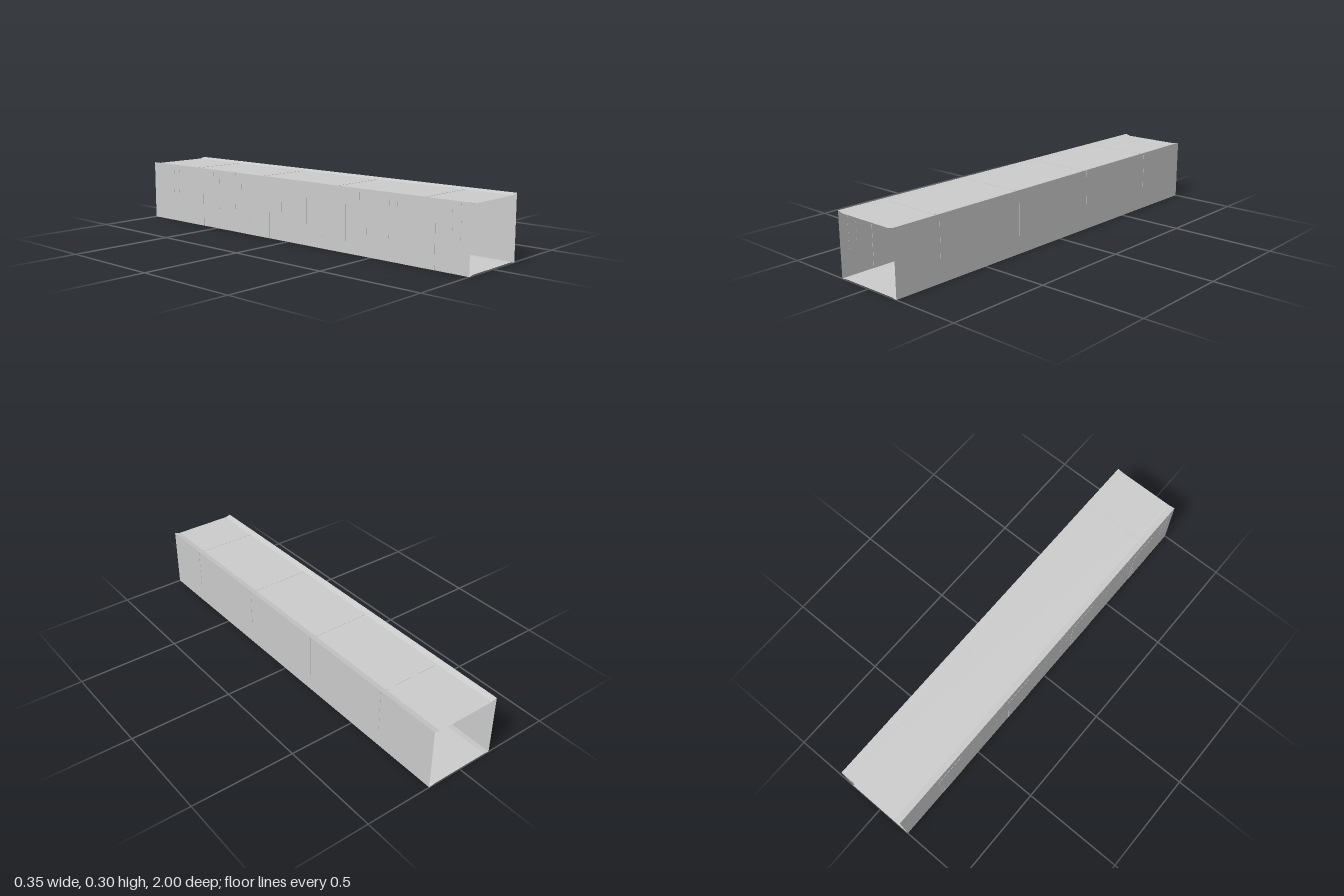
import * as THREE from 'three';

const W = 0.174, H = 0.298, L = 2;          // half width, height, length
const BAY = 0.478, FIRST = -0.677;          // bay spacing and first bay centre
const DOOR_W = 0.154, DOOR_H = 0.235;
const bays = [0, 1, 2, 3].map(i => FIRST + i * BAY);

const grey = new THREE.MeshStandardMaterial({ color: 0xcccccc, side: THREE.DoubleSide });

function add(parent, name, geometry, x = 0, y = 0, z = 0) {
  const mesh = new THREE.Mesh(geometry, grey);
  mesh.name = name;
  mesh.position.set(x, y, z);
  parent.add(mesh);
  return mesh;
}

const box = (w, h, d) => new THREE.BoxGeometry(w, h, d);

// Long panel swept along z from a cross-section of [x, y] points
function sweptPanel(section) {
  const pos = [], idx = [];
  for (let i = 0; i < section.length - 1; i++) {
    const [x0, y0] = section[i], [x1, y1] = section[i + 1], b = i * 4;
    pos.push(x0, y0, L / 2, x1, y1, L / 2, x1, y1, -L / 2, x0, y0, -L / 2);
    idx.push(b, b + 1, b + 2, b, b + 2, b + 3);
  }
  const g = new THREE.BufferGeometry();
  g.setAttribute('position', new THREE.Float32BufferAttribute(pos, 3));
  g.setIndex(idx);
  g.computeVertexNormals();
  return g;
}

// Wall outline (z along the shape's x) with notches for the doors
function doorWall() {
  const s = new THREE.Shape();
  s.moveTo(-L / 2, 0);
  for (const z of bays) {
    s.lineTo(z - DOOR_W / 2, 0);
    s.lineTo(z - DOOR_W / 2, DOOR_H);
    s.lineTo(z + DOOR_W / 2, DOOR_H);
    s.lineTo(z + DOOR_W / 2, 0);
  }
  s.lineTo(L / 2, 0);
  s.lineTo(L / 2, H);
  s.lineTo(-L / 2, H);
  s.closePath();
  return new THREE.ShapeGeometry(s).rotateY(-Math.PI / 2);
}

// Door leaf with its pull bar inside and fixings passing through
function makeDoor() {
  const door = new THREE.Group();
  door.name = 'door';
  add(door, 'doorLeaf', box(0.002, DOOR_H, DOOR_W - 0.001), 0, DOOR_H / 2, 0);
  const hz = -DOOR_W / 2 + 0.013;
  const bar = new THREE.CylinderGeometry(0.0015, 0.0015, 0.07, 8);
  add(door, 'pullBar', bar, 0.007, 0.085, hz);
  for (const y of [0.063, 0.106]) {
    const stub = new THREE.CylinderGeometry(0.001, 0.001, 0.012, 8).rotateZ(Math.PI / 2);
    add(door, 'handleStub', stub, 0.001, y, hz);
    const cap = new THREE.CylinderGeometry(0.0022, 0.0022, 0.002, 8).rotateZ(Math.PI / 2);
    add(door, 'handleCap', cap, -0.004, y, hz);
  }
  return door;
}

export function createModel() {
  const corridor = new THREE.Group();
  corridor.name = 'corridor';

  // Floor and ceiling trays with shallow sloped margins
  const inner = 0.145, floorY = 0.004, ceilingY = H - 0.007;
  add(corridor, 'floor', sweptPanel([[-W, 0], [-inner, floorY], [inner, floorY], [W, 0]]));
  add(corridor, 'ceiling', sweptPanel([[-W, H], [-inner, ceilingY], [inner, ceilingY], [W, H]]));

  // Side walls
  add(corridor, 'leftWall', sweptPanel([[W, 0], [W, H]]));
  add(corridor, 'rightWall', doorWall(), -W);

  for (const z of bays) {
    // Flush strips over the ceiling and down the plain wall
    add(corridor, 'ceilingStrip', box(inner * 2, 0.002, 0.011), 0, ceilingY, z);
    add(corridor, 'wallStrip', box(0.002, H - 0.085, 0.006), W, (H + 0.085) / 2, z);

    const door = makeDoor();
    door.position.set(-W, 0, z);
    corridor.add(door);

    // Thin hanging strips either side of the door: short inside, long outside
    for (const [dz, bottom] of [[-0.16, 0.1], [-0.118, 0.145], [0.157, 0.14], [0.198, 0.1]]) {
      add(corridor, 'thinStrip', box(0.001, H - bottom, 0.002), -W, (H + bottom) / 2, z + dz);
    }
  }
  return corridor;
}
